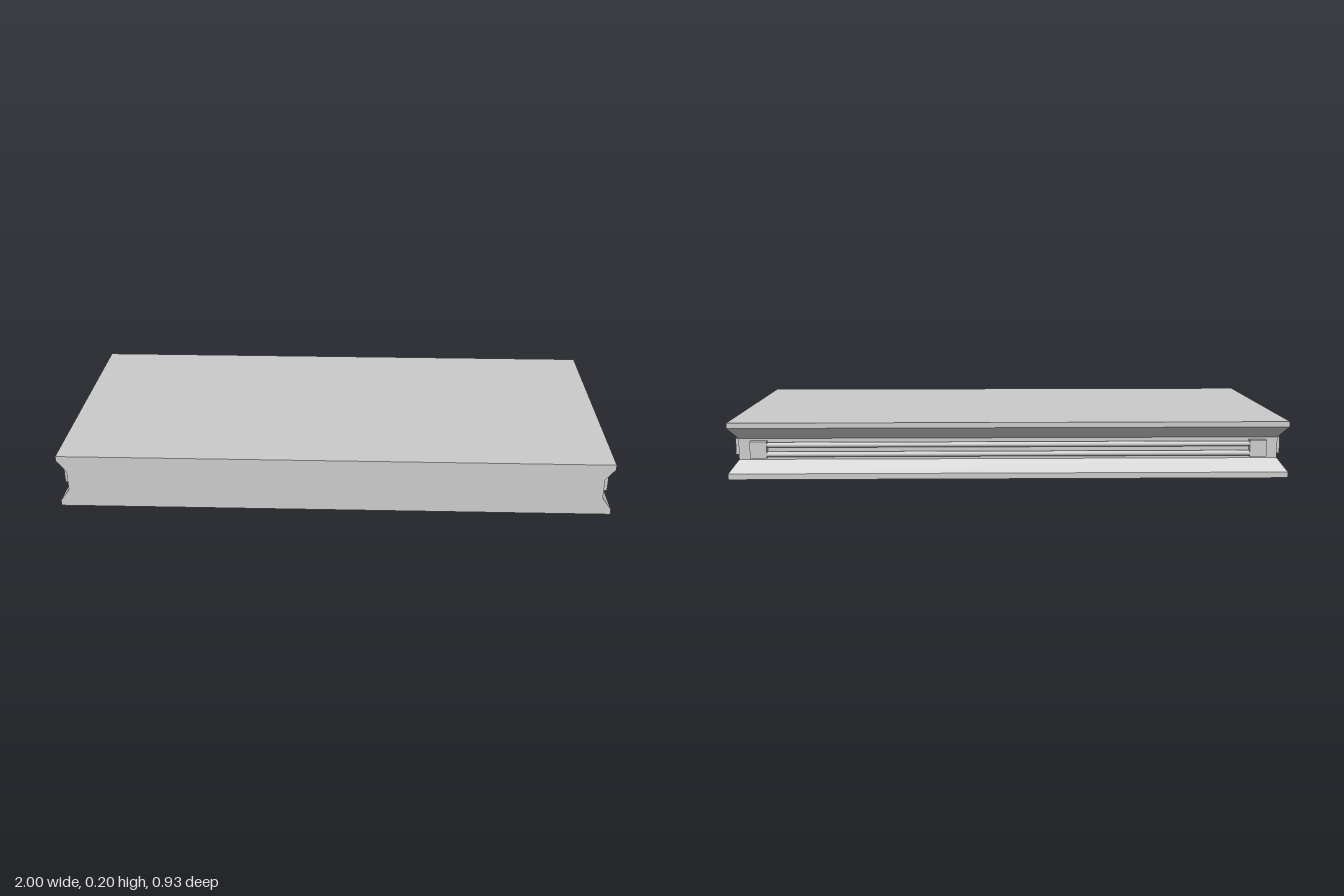
import * as THREE from 'three';

const material = new THREE.MeshStandardMaterial({ color: 0xcccccc, side: THREE.DoubleSide });
const flatMaterial = new THREE.MeshStandardMaterial({ color: 0xcccccc, flatShading: true, side: THREE.DoubleSide });

const HALF_X = 1, HALF_Z = 0.4625, INSET = 0.034;

// Slab with a flat front and a groove around the sides and back: [height, inset] per row
function slabBody() {
  const profile = [[0, 0], [0.021, 0], [0.067, INSET], [0.143, INSET], [0.185, 0], [0.204, 0]];
  const geo = new THREE.BoxGeometry(2, 5, 2, 1, 5, 1);
  const pos = geo.attributes.position;
  for (let i = 0; i < pos.count; i++) {
    const [y, inset] = profile[Math.round(pos.getY(i) + 2.5)];
    const x = Math.sign(pos.getX(i)) * (HALF_X - inset);
    const z = pos.getZ(i) > 0 ? HALF_Z : -HALF_Z + inset;
    pos.setXYZ(i, x, y, z);
  }
  geo.computeVertexNormals();
  const mesh = new THREE.Mesh(geo, flatMaterial);
  mesh.name = 'slabBody';
  return mesh;
}

// Two pipes held between end blocks; runs along x, with the wall at z = 0 and outward +z
function pipeRun(name, length) {
  const group = new THREE.Group();
  group.name = name;
  const block = 0.06, depth = 0.022;
  for (const side of [-1, 1]) {
    const mount = new THREE.Mesh(new THREE.BoxGeometry(block, 0.06, depth + 0.01), flatMaterial);
    mount.name = 'endBlock';
    mount.position.set(side * (length - block) / 2, 0.105, depth / 2 - 0.005);
    group.add(mount);
  }
  for (const y of [0.121, 0.087]) {
    const pipe = new THREE.Mesh(new THREE.CylinderGeometry(0.0095, 0.0095, length - block, 20), material);
    pipe.name = 'pipe';
    pipe.rotation.z = Math.PI / 2;
    pipe.position.set(0, y, 0.009);
    group.add(pipe);
  }
  return group;
}

export function createModel() {
  const model = new THREE.Group();
  model.name = 'groovedSlab';
  model.add(slabBody());

  // Pipe runs in the groove on both sides and the back
  for (const side of [-1, 1]) {
    const run = pipeRun(side > 0 ? 'leftPipes' : 'rightPipes', 0.8);
    run.rotation.y = side * Math.PI / 2;
    run.position.set(side * (HALF_X - INSET), 0, 0.02);
    model.add(run);
  }
  const back = pipeRun('backPipes', 1.845);
  back.rotation.y = Math.PI;
  back.position.z = -HALF_Z + INSET;
  model.add(back);
  return model;
}
